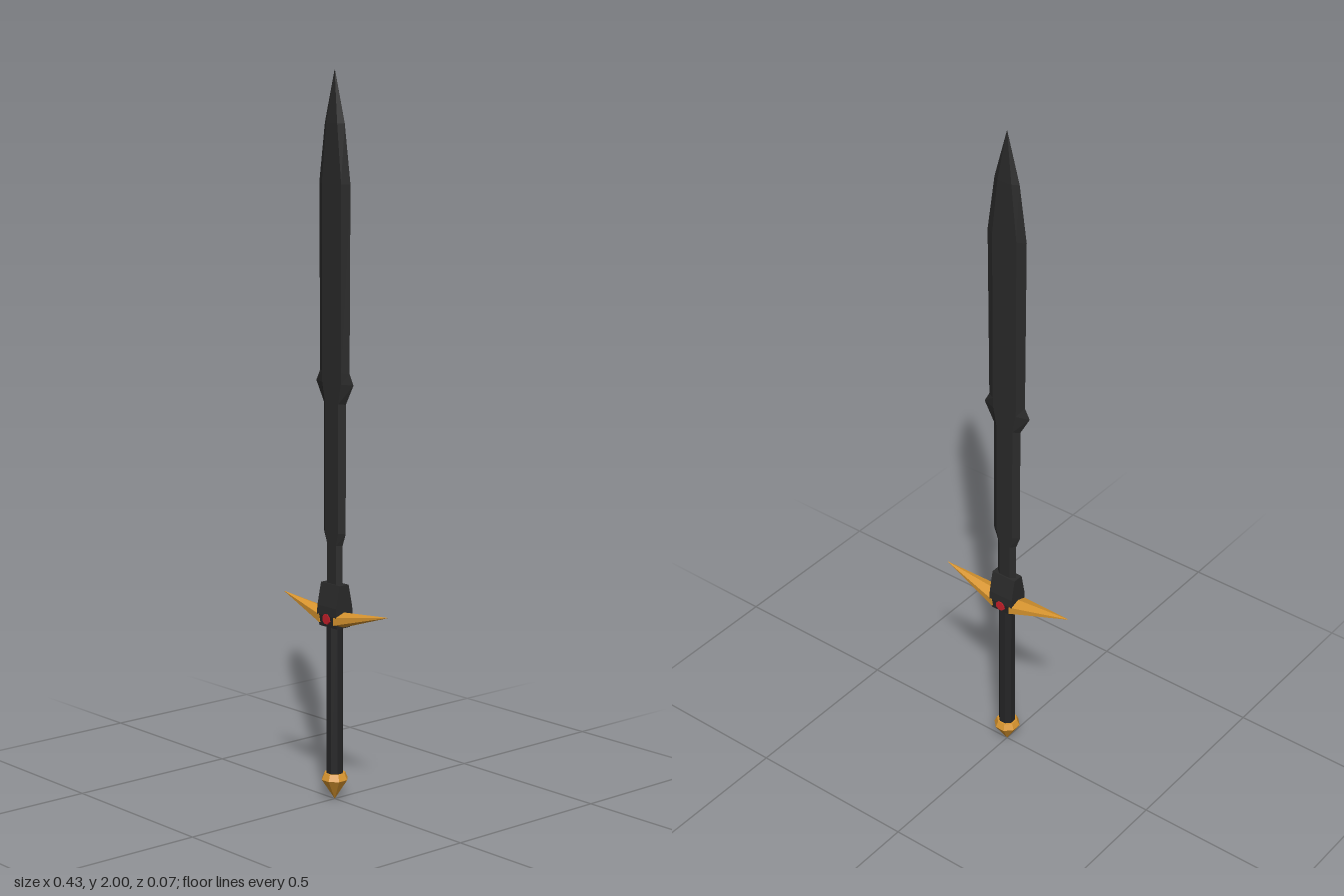
import * as THREE from 'three';

// Skin a list of equal-length rings and close both ends
function loft(rings) {
  const pos = [], n = rings[0].length;
  const tri = (a, b, c) => pos.push(...a, ...b, ...c);
  for (let k = 0; k < rings.length - 1; k++) {
    const a = rings[k], b = rings[k + 1];
    for (let i = 0; i < n; i++) {
      const j = (i + 1) % n;
      tri(a[i], a[j], b[j]);
      tri(a[i], b[j], b[i]);
    }
  }
  const first = rings[0], last = rings[rings.length - 1];
  for (let i = 1; i < n - 1; i++) {
    tri(first[0], first[i + 1], first[i]);
    tri(last[0], last[i], last[i + 1]);
  }
  const g = new THREE.BufferGeometry();
  g.setAttribute('position', new THREE.Float32BufferAttribute(pos, 3));
  g.computeVertexNormals();
  return g;
}

export function createModel() {
  const group = new THREE.Group();
  const material = (name, color) => {
    const m = new THREE.MeshStandardMaterial({ color, flatShading: true });
    m.name = name;
    return m;
  };
  const steel = material('dark steel', 0x2a2a2a);
  const leather = material('dark leather', 0x252526);
  const gold = material('gold', 0xd8952f);
  const red = material('red gem', 0xc8202a);
  const add = (name, geometry, mat) => {
    const mesh = new THREE.Mesh(geometry, mat);
    mesh.name = name;
    group.add(mesh);
    return mesh;
  };

  // Blade: flat faces with bevelled edges [height, half width, half flat, half thickness]
  const blade = [
    [0.56, 0.032, 0.018, 0.012], [0.72, 0.032, 0.018, 0.012], [0.755, 0.045, 0.027, 0.012],
    [1.11, 0.045, 0.027, 0.012], [1.165, 0.076, 0.038, 0.012], [1.195, 0.06, 0.039, 0.012],
    [1.7, 0.063, 0.039, 0.012], [1.86, 0.04, 0.022, 0.011], [2, 0.0005, 0.0003, 0.0005],
  ].map(([y, w, f, t]) => [[w, y, 0], [f, y, -t], [-f, y, -t], [-w, y, 0], [-f, y, t], [f, y, t]]);
  add('blade', loft(blade), steel);

  // Collar block at the base of the blade [height, half width, half depth]
  const collar = [[0.492, 0.036, 0.024], [0.525, 0.039, 0.031], [0.55, 0.039, 0.029], [0.612, 0.039, 0.016]]
    .map(([y, w, d]) => [[w, y, d], [w, y, -d], [-w, y, -d], [-w, y, d]]);
  add('collar', loft(collar), steel);

  // Crossguard spikes, each tapering to an upturned point
  const section = (x, y, h, d) => [
    [x, y + h, 0], [x, y + h * 0.5, d], [x, y - h * 0.5, d],
    [x, y - h, 0], [x, y - h * 0.5, -d], [x, y + h * 0.5, -d],
  ];
  const spike = loft([section(0.03, 0.514, 0.022, 0.032), section(0.214, 0.553, 0.0005, 0.0005)]);
  add('leftGuard', spike, gold);
  add('rightGuard', spike, gold).rotation.y = Math.PI;

  // Gems on both faces of the collar
  for (const [name, z] of [['frontGem', 0.03], ['backGem', -0.03]]) {
    const gem = new THREE.CylinderGeometry(0.015, 0.015, 0.006, 8);
    gem.rotateY(Math.PI / 8).rotateX(Math.PI / 2);
    add(name, gem, red).position.set(0, 0.516, z);
  }

  // Grip
  const grip = new THREE.CylinderGeometry(0.024, 0.024, 0.43, 8).rotateY(Math.PI / 8);
  add('grip', grip, leather).position.y = 0.285;

  // Pointed pommel
  const profile = [[0, 0], [0.038, 0.058], [0.03, 0.076], [0, 0.076]].map(([r, y]) => new THREE.Vector2(r, y));
  add('pommel', new THREE.LatheGeometry(profile, 8).rotateY(Math.PI / 8), gold);

  return group;
}
